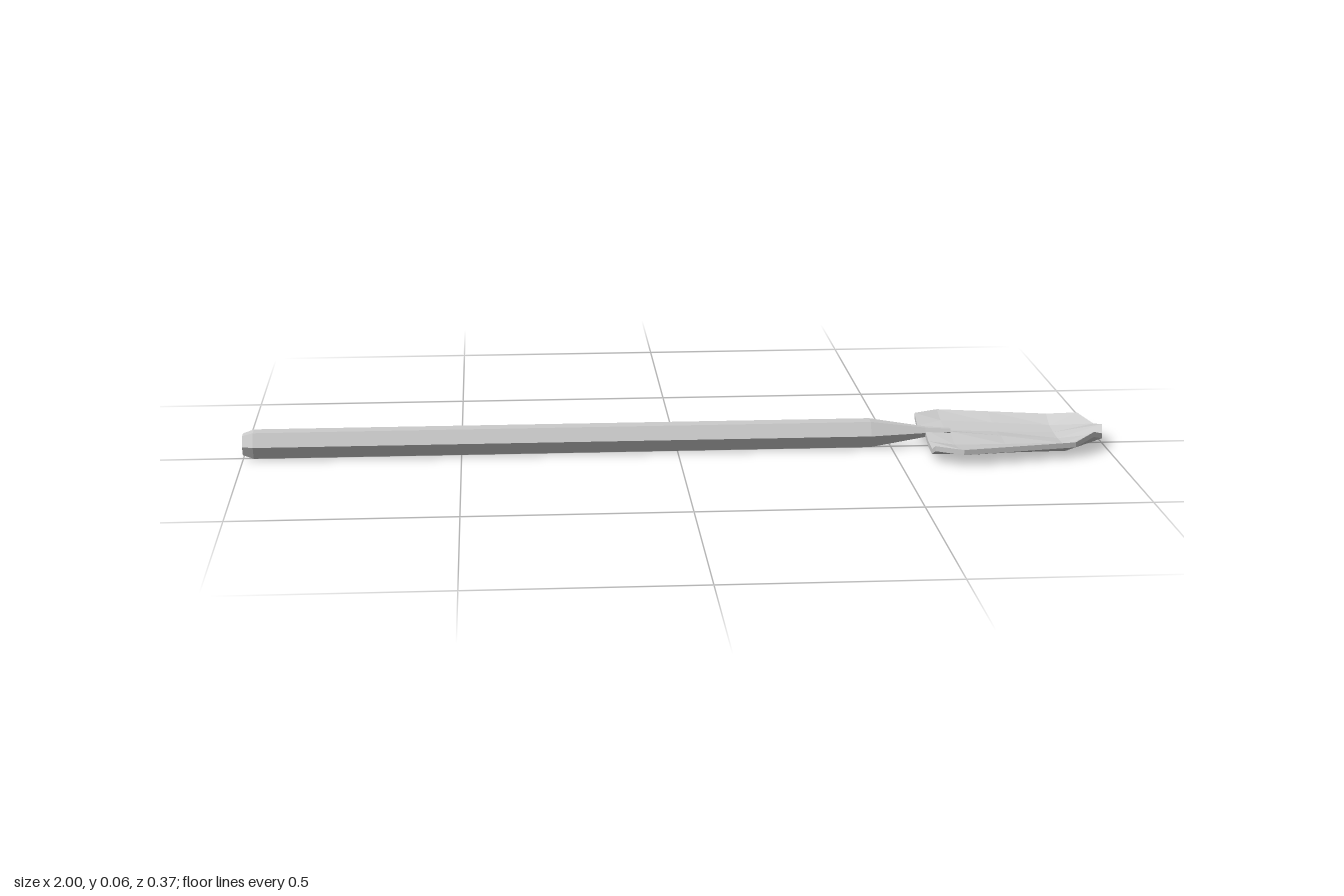
import * as THREE from 'three';

const material = new THREE.MeshStandardMaterial({ color: 0xcccccc, flatShading: true });

// Hexagonal shaft along x with a chamfered butt and a tapered neck
function makeHandle() {
  const profile = [[0, -1], [0.026, -1], [0.035, -0.975], [0.035, 0.45], [0.013, 0.58], [0.008, 0.64], [0, 0.64]];
  const geometry = new THREE.LatheGeometry(profile.map(([r, y]) => new THREE.Vector2(r, y)), 6);
  geometry.rotateZ(-Math.PI / 2);
  geometry.translate(0, 0.035, 0);
  const mesh = new THREE.Mesh(geometry, material);
  mesh.name = 'handle';
  return mesh;
}

// Thin fluted scoop, lofted from mirrored cross-sections
function makeBlade() {
  const thickness = 0.012;
  const columns = [0, 0.35, 0.7, 1]; // fractions of the half width
  // x per column, half width, underside height per column (centre to edge)
  const flat = (x) => [x, x, x, x];
  const rows = [
    { x: flat(0.58), w: 0.152, y: [0.028, 0.014, 0.01, 0.029] },
    { x: flat(0.64), w: 0.187, y: [0.022, 0.008, 0.015, 0.028] },
    { x: flat(0.76), w: 0.162, y: [0.01, 0.005, 0.012, 0.027] },
    { x: flat(0.895), w: 0.134, y: [0.001, 0.003, 0.008, 0.026] },
    { x: [1, 0.99, 0.96, 0.91], w: 0.13, y: [0.033, 0.023, 0.039, 0.026] }, // upturned scalloped lip
  ];
  const order = [3, 2, 1, 0, 1, 2, 3];
  const n = order.length;
  const ring = 2 * n;
  const positions = [];
  const index = [];
  for (const row of rows) {
    const bottom = order.map((c, j) => [row.x[c], row.y[c], Math.sign(j - 3) * columns[c] * row.w]);
    const top = bottom.map(([x, y, z]) => [x, y + thickness, z]);
    positions.push(...top.flat(), ...bottom.reverse().flat());
  }
  const quad = (a, b, c, d) => index.push(a, b, c, a, c, d);
  for (let i = 0; i < rows.length - 1; i++) {
    for (let k = 0; k < ring; k++) {
      const next = (k + 1) % ring;
      quad(i * ring + k, i * ring + next, (i + 1) * ring + next, (i + 1) * ring + k);
    }
  }
  // Close the rear and front rims
  const last = (rows.length - 1) * ring;
  for (let j = 0; j < n - 1; j++) {
    const under = ring - 1 - j;
    quad(j, under, under - 1, j + 1);
    quad(last + j, last + j + 1, last + under - 1, last + under);
  }
  const indexed = new THREE.BufferGeometry();
  indexed.setAttribute('position', new THREE.Float32BufferAttribute(positions, 3));
  indexed.setIndex(index);
  const geometry = indexed.toNonIndexed();
  geometry.computeVertexNormals();
  const mesh = new THREE.Mesh(geometry, material);
  mesh.name = 'blade';
  return mesh;
}

export function createModel() {
  const shovel = new THREE.Group();
  shovel.name = 'shovel';
  shovel.add(makeHandle(), makeBlade());
  return shovel;
}
